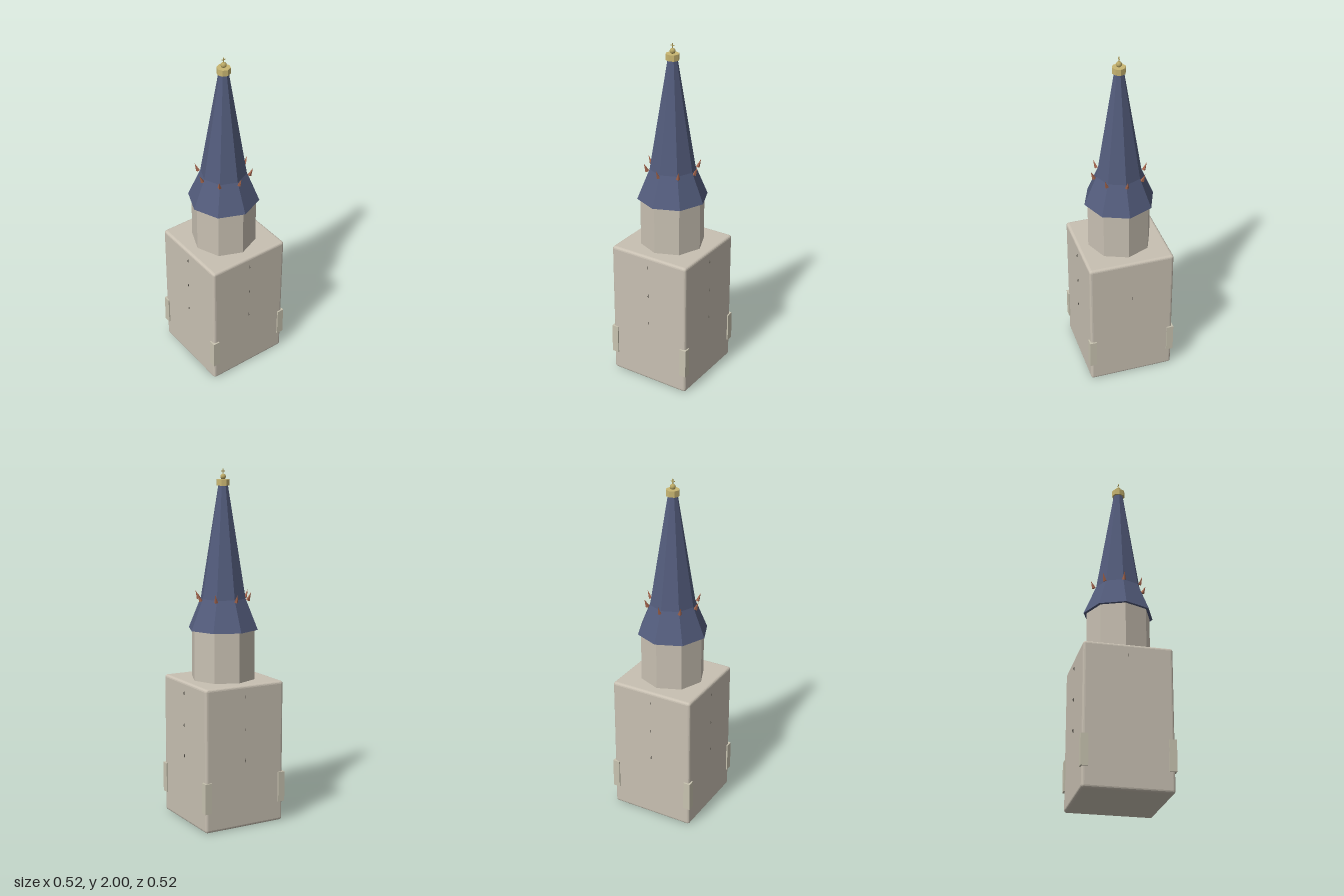
import * as THREE from 'three';
import { RoundedBoxGeometry } from 'three/addons/geometries/RoundedBoxGeometry.js';

export function createModel() {
  const model = new THREE.Group();
  model.name = 'churchTower';

  const material = (name, color, options = {}) => {
    const m = new THREE.MeshStandardMaterial({ color, ...options });
    m.name = name;
    return m;
  };
  const flat = { flatShading: true };
  const stone = material('stone', 0xc8c0b2, flat);
  const paleStone = material('paleStone', 0xc8c3b0, flat);
  const slate = material('slate', 0x535c7c, flat);
  const gold = material('gold', 0xc9b672, flat);
  const polishedGold = material('polishedGold', 0xb8a765);
  const copper = material('copper', 0xa5664e, flat);
  const darkGlass = material('darkGlass', 0x5c5850, { side: THREE.DoubleSide });

  const add = (name, geometry, mat, x = 0, y = 0, z = 0, parent = model) => {
    const mesh = new THREE.Mesh(geometry, mat);
    mesh.name = name;
    mesh.position.set(x, y, z);
    parent.add(mesh);
    return mesh;
  };

  // Eight-sided section between two heights
  const octagon = (name, mat, y0, r0, y1, r1) =>
    add(name, new THREE.CylinderGeometry(r1, r0, y1 - y0, 8), mat, 0, (y0 + y1) / 2, 0);

  // Square tower with softened edges
  add('towerBody', new RoundedBoxGeometry(0.5, 0.82, 0.5, 2, 0.015), stone, 0, 0.41, 0);

  // Corner buttresses
  const buttress = new THREE.BoxGeometry(0.041, 0.175, 0.041);
  for (const x of [-1, 1]) {
    for (const z of [-1, 1]) add('buttress', buttress, paleStone, x * 0.2375, 0.203, z * 0.2375);
  }

  // Small upright discs standing edge-on in the middle of each wall
  const disc = new THREE.CircleGeometry(0.013, 16);
  for (let side = 0; side < 4; side++) {
    const wall = new THREE.Group();
    wall.name = 'wallDiscs';
    wall.rotation.y = side * Math.PI / 2;
    model.add(wall);
    for (const y of [0.39, 0.57, 0.755]) add('wallDisc', disc, darkGlass, 0.244, y, 0, wall);
  }

  // Belfry, flared roof and spire
  octagon('belfry', stone, 0.815, 0.185, 1.11, 0.185);
  octagon('roofSkirt', slate, 1.105, 0.203, 1.28, 0.131);
  octagon('spire', slate, 1.28, 0.131, 1.915, 0.027);

  // Four-sided copper spikes leaning outwards from the roof ridges
  const spike = new THREE.ConeGeometry(0.0115, 0.05, 4);
  for (let i = 0; i < 8; i++) {
    const arm = new THREE.Group();
    arm.name = 'ridgeSpike';
    arm.rotation.y = i * Math.PI / 4;
    model.add(arm);
    add('spike', spike, copper, 0.1535, 1.294, 0, arm).rotation.z = -0.38;
  }

  // Gilded cap, ball and cross
  octagon('spireCap', gold, 1.908, 0.038, 1.943, 0.038);
  add('finialBall', new THREE.SphereGeometry(0.016, 16, 12), polishedGold, 0, 1.957, 0);
  add('crossPost', new THREE.BoxGeometry(0.004, 0.036, 0.004), polishedGold, 0, 1.982, 0);
  add('crossArm', new THREE.BoxGeometry(0.024, 0.004, 0.004), polishedGold, 0, 1.988, 0);

  return model;
}
